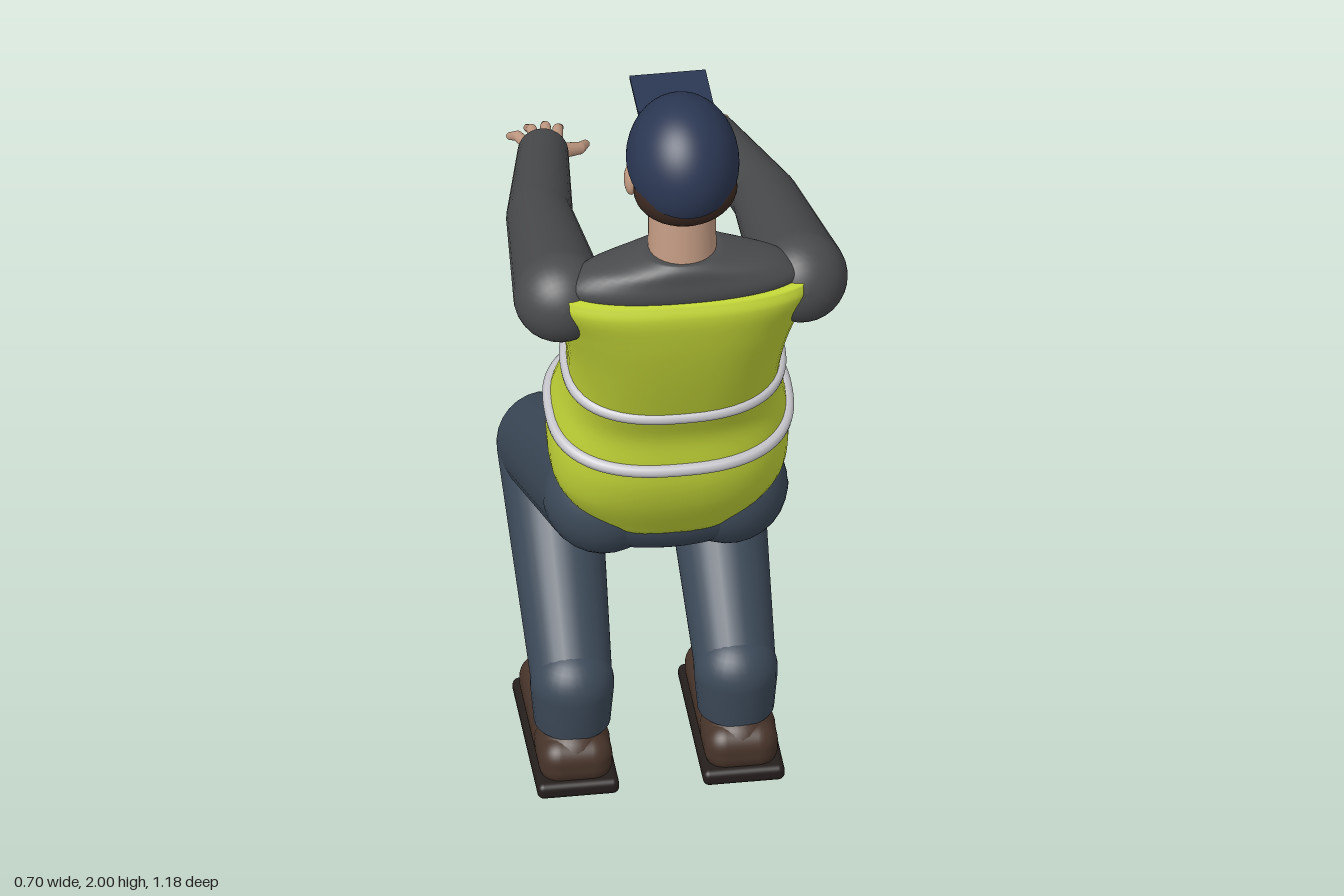
import * as THREE from 'three';
import { RoundedBoxGeometry } from 'three/addons/geometries/RoundedBoxGeometry.js';

const V = (x, y, z) => new THREE.Vector3(x, y, z);
const mat = (color) => new THREE.MeshStandardMaterial({ color, side: THREE.DoubleSide });

export function createModel() {
  const model = new THREE.Group();
  const navy = mat(0x2b3753), denim = mat(0x3c4958), lime = mat(0xc5d838), shirt = mat(0x4a4b4d);
  const skin = mat(0xc49c84), hair = mat(0x3d2a22), leather = mat(0x47342a), rubber = mat(0x241e1c);
  const silver = mat(0xc4c4ca), dark = mat(0x2a211e), lip = mat(0xa8786a);

  const add = (name, geometry, material, parent = model) => {
    const mesh = new THREE.Mesh(geometry, material);
    mesh.name = name;
    parent.add(mesh);
    return mesh;
  };

  // Ellipsoid with centre c and radii r
  const blob = (name, c, r, material, parent) => {
    const mesh = add(name, new THREE.SphereGeometry(1, 32, 20), material, parent);
    mesh.position.set(...c);
    mesh.scale.set(...r);
    return mesh;
  };

  // Tapered capsule from a to b, with an optional flat end at b
  const limb = (name, a, b, ra, rb, material, parent, flat = false) => {
    const from = V(...a), dir = V(...b).sub(from), len = dir.length();
    const tilt = Math.asin((ra - rb) / len), pts = [];
    for (let i = 0; i <= 10; i++) {
      const t = -Math.PI / 2 + (tilt + Math.PI / 2) * i / 10;
      pts.push(new THREE.Vector2(Math.max(0, ra * Math.cos(t)), ra * Math.sin(t)));
    }
    if (flat) pts.push(new THREE.Vector2(rb, len), new THREE.Vector2(rb * 0.95, len + 0.004), new THREE.Vector2(0, len + 0.004));
    else for (let i = 0; i <= 10; i++) {
      const t = tilt + (Math.PI / 2 - tilt) * i / 10;
      pts.push(new THREE.Vector2(Math.max(0, rb * Math.cos(t)), len + rb * Math.sin(t)));
    }
    const mesh = add(name, new THREE.LatheGeometry(pts, 28), material, parent);
    mesh.position.copy(from);
    mesh.quaternion.setFromUnitVectors(V(0, 1, 0), dir.normalize());
    return mesh;
  };

  // One tilted oval section: [back z, back y, front z, front y, half width]
  const ring = ([zb, yb, zf, yf, w], n, e, grow = 0) => {
    const pts = [];
    for (let j = 0; j < n; j++) {
      const a = j / n * Math.PI * 2, c = Math.cos(a), s = Math.sin(a);
      const pc = Math.sign(c) * Math.abs(c) ** e, ps = Math.sign(s) * Math.abs(s) ** e;
      const k = 1 + grow * 2 / Math.hypot(zb - zf, yb - yf);
      pts.push(V((w + grow) * ps, (yb + yf) / 2 + (yb - yf) / 2 * pc * k, (zb + zf) / 2 + (zb - zf) / 2 * pc * k));
    }
    return pts;
  };

  // Smooth closed skin through a stack of sections
  const loft = (rows, e, n = 48, steps = 5) => {
    const ends = new THREE.CatmullRomCurve3(rows.map((r) => V(r[0], r[1], r[4])));
    const fronts = new THREE.CatmullRomCurve3(rows.map((r) => V(r[2], r[3], 0)));
    const m = (rows.length - 1) * steps, pos = [], idx = [];
    for (let i = 0; i <= m; i++) {
      const p = ends.getPoint(i / m), q = fronts.getPoint(i / m);
      ring([p.x, p.y, q.x, q.y, p.z], n, e).forEach((v) => pos.push(v.x, v.y, v.z));
    }
    for (let i = 0; i < m; i++) for (let j = 0; j < n; j++) {
      const k = (j + 1) % n, a = i * n + j, b = i * n + k;
      idx.push(a, b, a + n, b, b + n, a + n);
    }
    for (const [row, at, flip] of [[rows[0], 0, true], [rows.at(-1), m * n, false]]) {
      const c = pos.length / 3;
      pos.push(0, (row[1] + row[3]) / 2, (row[0] + row[2]) / 2);
      for (let j = 0; j < n; j++) {
        const a = at + j, b = at + (j + 1) % n;
        idx.push(c, flip ? b : a, flip ? a : b);
      }
    }
    const g = new THREE.BufferGeometry();
    g.setAttribute('position', new THREE.Float32BufferAttribute(pos, 3));
    g.setIndex(idx);
    g.computeVertexNormals();
    return g;
  };

  // Torso: vest, shirt yoke and reflective bands
  add('vest', loft([
    [0.31, 0.79, 0.08, 0.80, 0.17], [0.375, 0.90, 0.045, 0.92, 0.24], [0.40, 0.97, 0.03, 1.02, 0.252],
    [0.408, 1.03, 0.05, 1.13, 0.247], [0.415, 1.11, 0.09, 1.20, 0.232], [0.45, 1.19, 0.14, 1.28, 0.222],
    [0.505, 1.33, 0.18, 1.38, 0.235], [0.54, 1.44, 0.26, 1.48, 0.258], [0.555, 1.52, 0.345, 1.53, 0.275],
    [0.545, 1.55, 0.37, 1.555, 0.27]], 0.8), lime);
  add('shirtYoke', loft([
    [0.53, 1.53, 0.36, 1.53, 0.25], [0.54, 1.56, 0.365, 1.565, 0.25], [0.535, 1.595, 0.37, 1.595, 0.21],
    [0.53, 1.62, 0.375, 1.62, 0.13], [0.52, 1.635, 0.38, 1.635, 0.08]], 0.9), shirt);
  const bands = [[0.41, 1.03, 0.05, 1.13, 0.247], [0.45, 1.195, 0.143, 1.28, 0.222]];
  bands.forEach((b, i) => add(i ? 'upperBand' : 'lowerBand',
    new THREE.TubeGeometry(new THREE.CatmullRomCurve3(ring(b, 40, 0.8, 0.001), true), 96, 0.014, 8, true), silver));
  blob('pelvis', [0, 0.815, 0.195], [0.258, 0.11, 0.122], denim);

  // Head
  const head = new THREE.Group();
  head.name = 'head';
  model.add(head);
  limb('neck', [0, 1.60, 0.445], [0, 1.76, 0.435], 0.072, 0.07, skin, head);
  add('face', loft([
    [0.35, 1.692, 0.31, 1.692, 0.025], [0.40, 1.705, 0.287, 1.705, 0.055], [0.45, 1.73, 0.288, 1.735, 0.078],
    [0.52, 1.77, 0.292, 1.77, 0.092], [0.55, 1.81, 0.293, 1.81, 0.102], [0.56, 1.85, 0.298, 1.85, 0.104],
    [0.555, 1.89, 0.30, 1.89, 0.103], [0.54, 1.93, 0.33, 1.93, 0.09]], 0.9, 40), skin, head);
  blob('hair', [0, 1.815, 0.49], [0.109, 0.08, 0.083], hair, head);
  const dome = add('capDome', new THREE.SphereGeometry(1, 40, 20, 0, Math.PI * 2, 0, Math.PI / 2), navy, head);
  dome.scale.set(0.118, 0.145, 0.143);
  dome.position.set(0, 1.855, 0.447);
  dome.rotation.x = 0.41;
  const brim = add('capBrim', new THREE.BoxGeometry(0.16, 0.008, 0.13), navy, head);
  brim.position.set(0, 1.912, 0.285);
  limb('nose', [0, 1.855, 0.296], [0, 1.81, 0.272], 0.011, 0.015, skin, head);
  blob('chin', [0, 1.712, 0.30], [0.03, 0.02, 0.02], skin, head);
  blob('upperLip', [0, 1.766, 0.291], [0.028, 0.006, 0.01], lip, head);
  blob('lowerLip', [0, 1.755, 0.291], [0.024, 0.006, 0.01], lip, head);

  for (const s of [1, -1]) {
    const side = s > 0 ? 'left' : 'right';
    blob(side + 'Ear', [s * 0.106, 1.80, 0.425], [0.014, 0.036, 0.024], skin, head);
    blob(side + 'Eye', [s * 0.042, 1.85, 0.305], [0.015, 0.008, 0.009], dark, head);
    limb(side + 'Brow', [s * 0.025, 1.869, 0.298], [s * 0.062, 1.87, 0.317], 0.006, 0.005, hair, head);
    blob(side + 'Cheek', [s * 0.06, 1.80, 0.33], [0.032, 0.025, 0.03], skin, head);

    // Arm
    const arm = new THREE.Group();
    arm.name = side + 'Arm';
    model.add(arm);
    limb('upperSleeve', [s * 0.253, 1.508, 0.415], [s * 0.238, 1.405, 0], 0.098, 0.07, shirt, arm);
    limb('lowerSleeve', [s * 0.238, 1.405, 0], [s * 0.18, 1.305, -0.365], 0.07, 0.053, shirt, arm, true);

    // Hand, thumb towards the middle
    limb('wrist', [s * 0.18, 1.305, -0.35], [s * 0.175, 1.283, -0.40], 0.036, 0.032, skin, arm);
    const palm = blob('palm', [s * 0.172, 1.272, -0.432], [0.046, 0.021, 0.06], skin, arm);
    palm.rotation.x = -0.35;
    const fingers = [[0.138, 0.118, -0.558], [0.158, 0.146, -0.582], [0.18, 0.184, -0.572], [0.202, 0.226, -0.532]];
    fingers.forEach(([base, tip, z], i) => {
      const mid = [s * (base + tip) / 2, 1.25, (z - 0.465) / 2 - 0.005];
      limb('finger' + (i + 1), [s * base, 1.263, -0.455], mid, 0.0125, 0.011, skin, arm);
      limb('fingertip' + (i + 1), mid, [s * tip, 1.216 + (z + 0.58) * 0.3, z], 0.011, 0.008, skin, arm);
    });
    limb('thumbBase', [s * 0.148, 1.275, -0.405], [s * 0.093, 1.252, -0.44], 0.018, 0.013, skin, arm);
    limb('thumbTip', [s * 0.093, 1.252, -0.44], [s * 0.076, 1.238, -0.472], 0.013, 0.009, skin, arm);

    // Leg
    const leg = new THREE.Group();
    leg.name = side + 'Leg';
    model.add(leg);
    limb('thigh', [s * 0.13, 0.82, 0.185], [s * 0.17, 0.556, -0.365], 0.127, 0.107, denim, leg);
    limb('shin', [s * 0.17, 0.55, -0.36], [s * 0.172, 0.215, 0.01], 0.107, 0.085, denim, leg);
    limb('trouserCuff', [s * 0.172, 0.215, 0.015], [s * 0.172, 0.12, 0.015], 0.088, 0.08, denim, leg, true);

    // Shoe
    const upper = add('shoe', new RoundedBoxGeometry(0.155, 0.105, 0.375, 5, 0.045), leather, leg);
    upper.position.set(s * 0.174, 0.065, -0.063);
    blob('shoeHeel', [s * 0.174, 0.075, 0.03], [0.079, 0.068, 0.092], leather, leg);
    const sole = add('sole', new RoundedBoxGeometry(0.172, 0.036, 0.4, 3, 0.014), rubber, leg);
    sole.position.set(s * 0.174, 0.018, -0.064);
  }
  return model;
}
